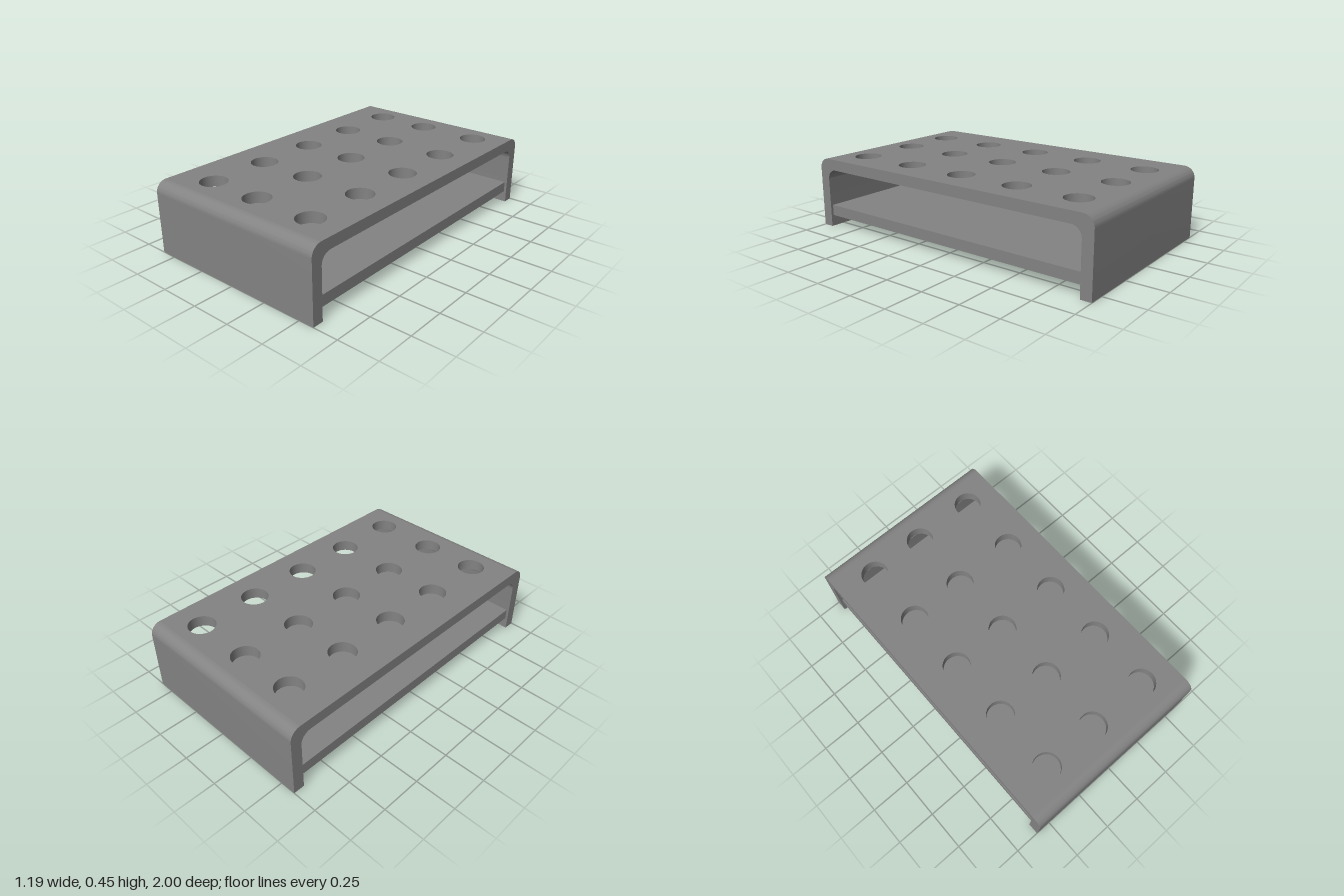
import * as THREE from 'three';
import { toCreasedNormals } from 'three/addons/utils/BufferGeometryUtils.js';

const WIDTH = 1.193, HEIGHT = 0.447, T = 0.068; // T = wall thickness
const INNER = 1 - T;                            // inner face of the end walls
const UNDER = HEIGHT - T, FILLET = 0.065;
const HOLE_X = [-0.355, 0, 0.39], HOLE_Z = [-0.787, -0.395, 0, 0.39, 0.783], HOLE_R = 0.083;

// Points (z, y) of a quarter round from angle a to angle b
function quarter(cz, cy, r, a, b) {
  return new THREE.Path().absarc(cz, cy, r, a, b, b < a).getPoints(12);
}

// Surface that carries a (z, y) path across the full width
function skin(path) {
  const geometry = new THREE.PlaneGeometry(WIDTH, 1, 1, path.length - 1);
  const pos = geometry.attributes.position;
  for (let i = 0; i < pos.count; i++) {
    const p = path[Math.floor(i / 2)];
    pos.setXYZ(i, pos.getX(i), p.y, p.x);
  }
  return toCreasedNormals(geometry, 0.6);
}

export function createModel() {
  const group = new THREE.Group();
  const material = new THREE.MeshStandardMaterial({ color: 0x838383, side: THREE.DoubleSide });
  const add = (name, geometry) => {
    const mesh = new THREE.Mesh(geometry, material);
    mesh.name = name;
    group.add(mesh);
    return mesh;
  };

  // End walls, open at the foot: filleted inner skin and rounded outer skin
  const inside = [...quarter(INNER - FILLET, UNDER - FILLET, FILLET, Math.PI / 2, 0), new THREE.Vector2(INNER, 0)];
  const outside = [new THREE.Vector2(1, 0), ...quarter(INNER, UNDER, T, 0, Math.PI / 2)];
  const innerSkin = skin(inside), outerSkin = skin(outside);
  for (const [end, turn] of [['front', 0], ['back', Math.PI]]) {
    add(end + 'WallInside', innerSkin).rotation.y = turn;
    add(end + 'WallOutside', outerSkin).rotation.y = turn;
  }

  // Arch-shaped rims closing the left and right sides
  const half = [...inside, ...outside];
  const mirrored = half.map((p) => new THREE.Vector2(-p.x, p.y)).reverse();
  const rim = new THREE.ShapeGeometry(new THREE.Shape([...half, ...mirrored])).rotateY(Math.PI / 2);
  for (const side of [1, -1]) {
    const mesh = add(side > 0 ? 'leftRim' : 'rightRim', rim);
    mesh.position.x = side * WIDTH / 2;
    mesh.rotation.y = side > 0 ? 0 : Math.PI;
  }

  // Top skin with a grid of holes, each lined by an open sleeve
  const plate = new THREE.Shape();
  plate.moveTo(-WIDTH / 2, -INNER).lineTo(WIDTH / 2, -INNER).lineTo(WIDTH / 2, INNER).lineTo(-WIDTH / 2, INNER).closePath();
  const sleeve = new THREE.CylinderGeometry(HOLE_R, HOLE_R, T, 48, 1, true);
  for (const x of HOLE_X) {
    for (const z of HOLE_Z) {
      plate.holes.push(new THREE.Path().absarc(x, -z, HOLE_R, 0, Math.PI * 2, true));
      add('holeSleeve', sleeve).position.set(x, HEIGHT - T / 2, z);
    }
  }
  add('topSkin', new THREE.ShapeGeometry(plate, 24).rotateX(-Math.PI / 2)).position.y = HEIGHT;

  // Lower shelf, set in slightly from both sides and open underneath
  const shelf = new THREE.BoxGeometry(WIDTH - 0.032, T, INNER * 2);
  const bottom = shelf.groups[3];
  shelf.setIndex([...shelf.index.array].filter((_, i) => i < bottom.start || i >= bottom.start + bottom.count));
  shelf.clearGroups();
  add('lowerShelf', shelf).position.y = 0.105;

  return group;
}
